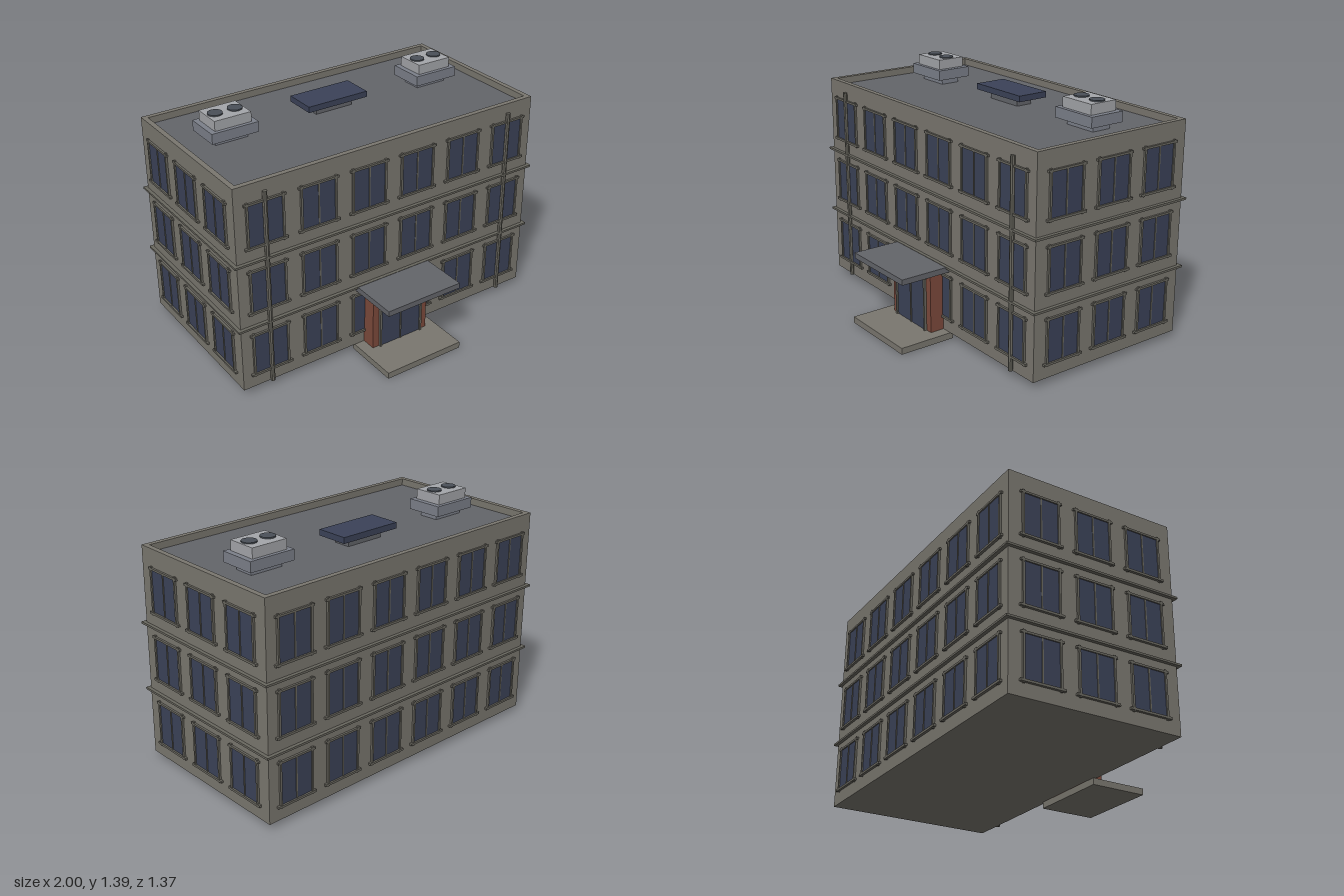
import * as THREE from 'three';

const mat = (color) => new THREE.MeshStandardMaterial({ color, flatShading: true });

export function createModel() {
  const root = new THREE.Group();
  root.name = 'officeBuilding';
  const wall = mat(0x7a776f), trim = mat(0x69675f), glass = mat(0x3b4258), brick = mat(0x7d4a3c);
  const slate = mat(0x63656a), baseGrey = mat(0x7c808a), metal = mat(0xa4a6aa), fanDark = mat(0x4a5058);

  // Box given by its extents on each axis
  const box = (name, material, x0, x1, y0, y1, z0, z1, parent = root) => {
    const m = new THREE.Mesh(new THREE.BoxGeometry(x1 - x0, y1 - y0, z1 - z0), material);
    m.position.set((x0 + x1) / 2, (y0 + y1) / 2, (z0 + z1) / 2);
    m.name = name;
    parent.add(m);
    return m;
  };

  const X = 0.98, ZB = -0.66, ZF = 0.36, Y0 = 0.038, TOP = 1.272, DECK = 1.232, ZC = -0.15;

  // Main block, roof deck and parapet
  box('walls', wall, -X, X, Y0, DECK - 0.005, ZB, ZF);
  box('roofDeck', slate, -X + 0.03, X - 0.03, DECK - 0.005, DECK, ZB + 0.03, ZF - 0.03);
  for (const s of [-1, 1]) {
    box('parapetSide', wall, s * (X - 0.015) - 0.015, s * (X - 0.015) + 0.015, DECK - 0.005, TOP, ZB, ZF);
    const z = s > 0 ? ZF - 0.03 : ZB;
    box('parapetEnd', wall, -X + 0.03, X - 0.03, DECK - 0.005, TOP, z, z + 0.03);
  }

  // Floor bands
  for (const y of [0.432, 0.827])
    box('floorBand', trim, -1, 1, y - 0.006, y + 0.006, ZB - 0.02, ZF + 0.02);

  // One window, facing +z, with its origin on the wall surface
  const makeWindow = () => {
    const g = new THREE.Group();
    g.name = 'window';
    box('windowGlass', glass, -0.102, 0.102, -0.121, 0.121, -0.004, 0.005, g);
    for (const s of [-1, 1])
      box('windowJamb', trim, s * 0.106 - 0.006, s * 0.106 + 0.006, -0.138, 0.138, 0, 0.012, g);
    box('windowHead', trim, -0.124, 0.124, 0.12, 0.132, 0, 0.012, g);
    box('windowSill', trim, -0.128, 0.128, -0.133, -0.12, 0, 0.015, g);
    box('windowMullion', trim, -0.004, 0.004, -0.121, 0.121, 0, 0.009, g);
    return g;
  };

  // Three floors of windows around all four walls
  for (const y of [0.247, 0.642, 1.036]) {
    const place = (x, z, turn) => {
      const w = makeWindow();
      w.position.set(x, y, z);
      w.rotation.y = turn;
      root.add(w);
    };
    for (let i = 0; i < 6; i++) {
      const x = (i - 2.5) * 0.321;
      place(x, ZF, 0);
      place(x, ZB, Math.PI);
    }
    for (let i = -1; i <= 1; i++) {
      place(X, ZC + i * 0.32, Math.PI / 2);
      place(-X, ZC + i * 0.32, -Math.PI / 2);
    }
  }

  // Drainpipes on the front
  for (const s of [-1, 1]) {
    const pipe = new THREE.Mesh(new THREE.CylinderGeometry(0.0135, 0.0135, 1.177, 8), trim);
    pipe.position.set(s * 0.803, Y0 + 0.5885, 0.367);
    pipe.name = 'drainpipe';
    root.add(pipe);
  }

  // Entrance: step, brick porch, canopy and double door
  box('entranceStep', wall, -0.253, 0.253, 0, Y0, 0.342, 0.685);
  box('brickPorch', brick, -0.188, 0.188, Y0, 0.403, 0.34, 0.447);
  box('canopy', slate, -0.245, 0.245, 0.403, 0.436, 0.34, 0.668);
  box('doorGlass', glass, -0.137, 0.137, Y0, 0.355, 0.44, 0.452);
  for (const s of [-1, 1])
    box('doorJamb', trim, s * 0.141 - 0.006, s * 0.141 + 0.006, Y0, 0.373, 0.446, 0.462);
  box('doorHead', trim, -0.155, 0.155, 0.354, 0.364, 0.446, 0.462);
  box('doorMullion', trim, -0.004, 0.004, Y0, 0.355, 0.446, 0.458);

  // Rooftop cooling units with two fans each
  for (const s of [-1, 1]) {
    const unit = new THREE.Group();
    unit.name = 'coolingUnit';
    unit.position.set(s * 0.676, 0, -0.244);
    root.add(unit);
    box('unitBase', baseGrey, -0.142, 0.142, TOP - 0.004, 1.328, -0.109, 0.109, unit);
    box('unitFoot', baseGrey, -0.1, 0.1, DECK, TOP, -0.06, 0.06, unit);
    box('unitHousing', metal, -0.111, 0.111, 1.328, 1.386, -0.087, 0.087, unit);
    for (const f of [-1, 1]) {
      const fan = new THREE.Mesh(new THREE.CylinderGeometry(0.042, 0.042, 0.01, 20), fanDark);
      fan.position.set(f * 0.06, 1.388, 0);
      fan.name = 'fan';
      unit.add(fan);
    }
  }

  // Roof panel on a low support
  box('roofPanel', glass, -0.196, 0.196, 1.277, 1.312, -0.358, -0.165);
  box('panelSupport', slate, -0.12, 0.12, DECK, 1.277, -0.31, -0.21);

  return root;
}
